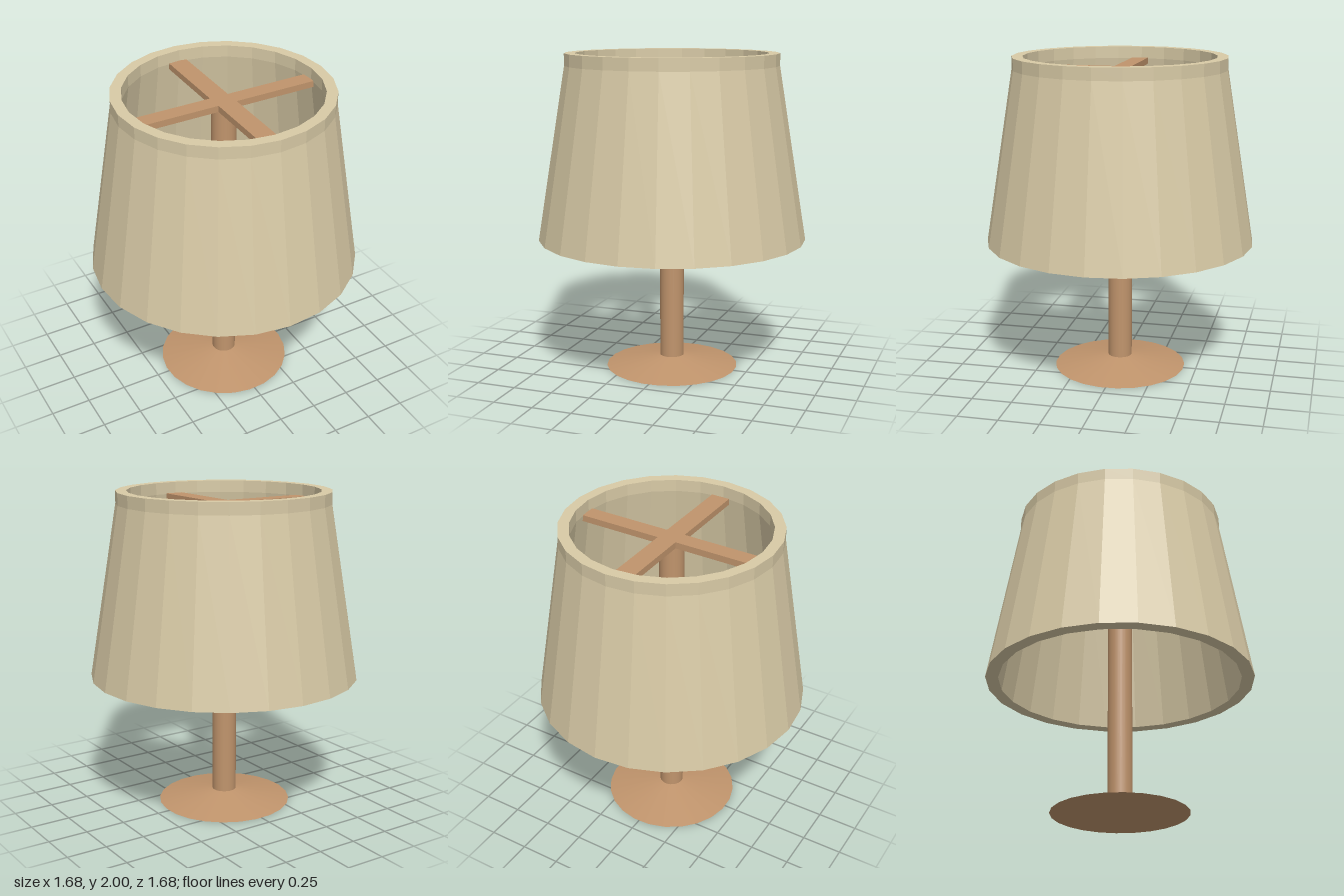
import * as THREE from 'three';

const SIDES = 24;
const wood = new THREE.MeshStandardMaterial({ color: 0xc0946c });
const fabric = new THREE.MeshStandardMaterial({ color: 0xd8caa6, flatShading: true });

const points = (list) => list.map(([x, y]) => new THREE.Vector2(x, y));
const deg = THREE.MathUtils.degToRad;

function addPart(group, name, geometry, material) {
  const mesh = new THREE.Mesh(geometry, material);
  mesh.name = name;
  group.add(mesh);
  return mesh;
}

export function createModel() {
  const lamp = new THREE.Group();
  lamp.name = 'tableLamp';

  // Base: a low cone with a very thin rim
  const baseHeight = 0.065;
  const baseCone = new THREE.CylinderGeometry(0.076, 0.42, baseHeight, SIDES);
  const base = addPart(lamp, 'base', baseCone, wood);
  base.position.y = baseHeight / 2;
  base.rotation.y = deg(10);

  // Stem: from the base up to the underside of the cross
  const stemTop = 1.89;
  const stemGeometry = new THREE.CylinderGeometry(0.076, 0.076, stemTop - 0.05, SIDES);
  const stem = addPart(lamp, 'stem', stemGeometry, wood);
  stem.position.y = (stemTop + 0.05) / 2;
  stem.rotation.y = deg(10);

  // Cross: one plus-shaped slab that carries the shade
  const a = 0.06, b = 0.052, r = 0.592;
  const plus = new THREE.Shape(points([
    [a, b], [a, r], [-a, r], [-a, b], [-r, b], [-r, -b],
    [-a, -b], [-a, -r], [a, -r], [a, -b], [r, -b], [r, b],
  ]));
  const slab = new THREE.ExtrudeGeometry(plus, { depth: 0.04, bevelEnabled: false });
  slab.rotateX(-Math.PI / 2);
  const cross = addPart(lamp, 'shadeCross', slab, wood);
  cross.position.set(0, stemTop, -0.005);

  // Shade: thick faceted wall, tapered below a straight top band
  const wall = points([
    [0.76, 0.845], [0.84, 0.845], [0.662, 1.925], [0.662, 2],
    [0.595, 2], [0.595, 1.925], [0.76, 0.845],
  ]);
  const shade = addPart(lamp, 'shade', new THREE.LatheGeometry(wall, SIDES), fabric);
  shade.rotation.y = deg(-1.4);

  return lamp;
}
